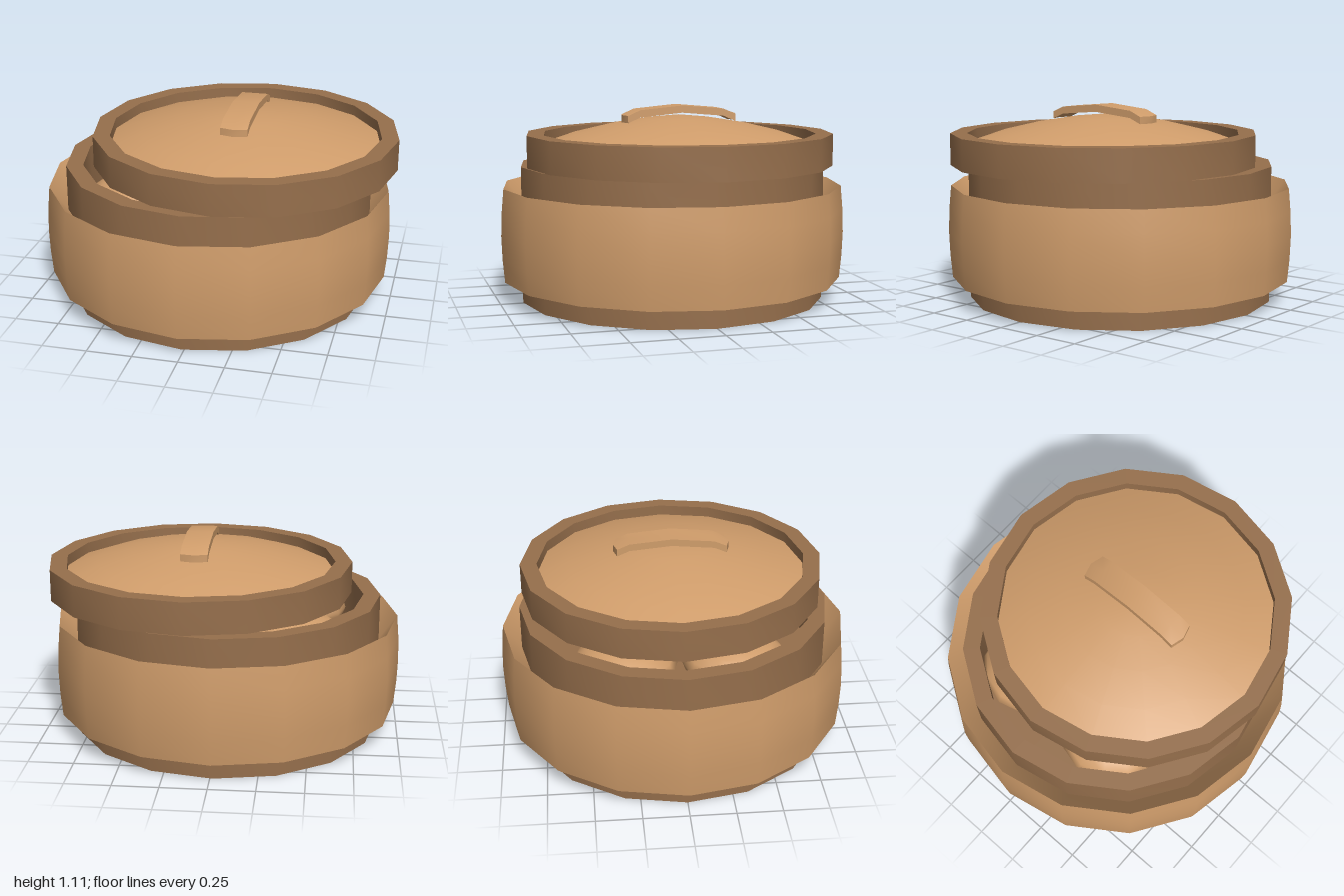
import * as THREE from 'three';
import { toCreasedNormals } from 'three/addons/utils/BufferGeometryUtils.js';

export function createModel() {
  const model = new THREE.Group();
  const material = (name, color) => {
    const m = new THREE.MeshStandardMaterial({ color, side: THREE.DoubleSide });
    m.name = name;
    return m;
  };
  const lightWood = material('light bamboo', 0xd09d6b);
  const darkWood = material('dark bamboo', 0x966f4c);

  const add = (parent, name, geometry, mat) => {
    const mesh = new THREE.Mesh(geometry, mat);
    mesh.name = name;
    parent.add(mesh);
    return mesh;
  };
  // 16-sided turned part; profile runs up the outside, then inward
  const turned = (parent, name, points, mat) => {
    const profile = points.map(([r, y]) => new THREE.Vector2(r, y));
    return add(parent, name, toCreasedNormals(new THREE.LatheGeometry(profile, 16), 0.6), mat);
  };
  const hoop = (parent, name, outer, inner, y0, y1) => turned(parent, name,
    [[outer, y0], [outer, y1], [inner, y1], [inner, y0], [outer, y0]], darkWood);

  // Basket
  const basket = new THREE.Group();
  basket.name = 'basket';
  basket.position.x = -0.013;
  model.add(basket);
  turned(basket, 'baseRing', [[0, 0], [0.87, 0], [0.87, 0.3]], darkWood);
  hoop(basket, 'upperRim', 0.87, 0.775, 0.4, 0.77);
  turned(basket, 'basketFloor', [[0.78, 0.5], [0, 0.5]], darkWood);
  // Bulging outer band, flaring away from the rims at both edges
  turned(basket, 'outerBand', [
    [0.865, 0.27], [0.97, 0.12], [0.982, 0.25], [0.987, 0.385],
    [0.982, 0.52], [0.97, 0.65], [0.865, 0.5],
  ], lightWood);

  // Buns inside
  for (const sx of [-1, 1]) for (const sz of [-1, 1]) {
    const bun = add(basket, 'bun', new THREE.SphereGeometry(0.29, 12, 8), lightWood);
    bun.scale.y = 0.5;
    bun.position.set(sx * 0.39, 0.6, sz * 0.3);
  }

  // Lid, shifted to one side
  const lid = new THREE.Group();
  lid.name = 'lid';
  lid.position.x = 0.14;
  model.add(lid);
  hoop(lid, 'lidRim', 0.86, 0.765, 0.78, 0.957);
  turned(lid, 'lidDome', [
    [0.77, 0.895], [0.59, 0.957], [0.39, 1.005], [0.2, 1.037], [0, 1.058],
  ], lightWood);

  // Arched handle: a flat bar bent along z, with pointed ends
  const bar = new THREE.BoxGeometry(0.15, 0.04, 0.66, 2, 1, 4);
  const p = bar.attributes.position;
  for (let i = 0; i < p.count; i++) {
    const step = Math.round(Math.abs(p.getZ(i)) / 0.165);
    const side = Math.sign(p.getZ(i));
    const corner = Math.abs(p.getX(i)) > 0.01 && step === 2 ? 0.02 : 0;
    p.setY(i, p.getY(i) + [1.092, 1.07, 1.04][step]);
    p.setZ(i, side * ([0, 0.24, 0.33][step] - corner));
  }
  add(lid, 'handle', toCreasedNormals(bar, 0.6), lightWood);

  return model;
}
